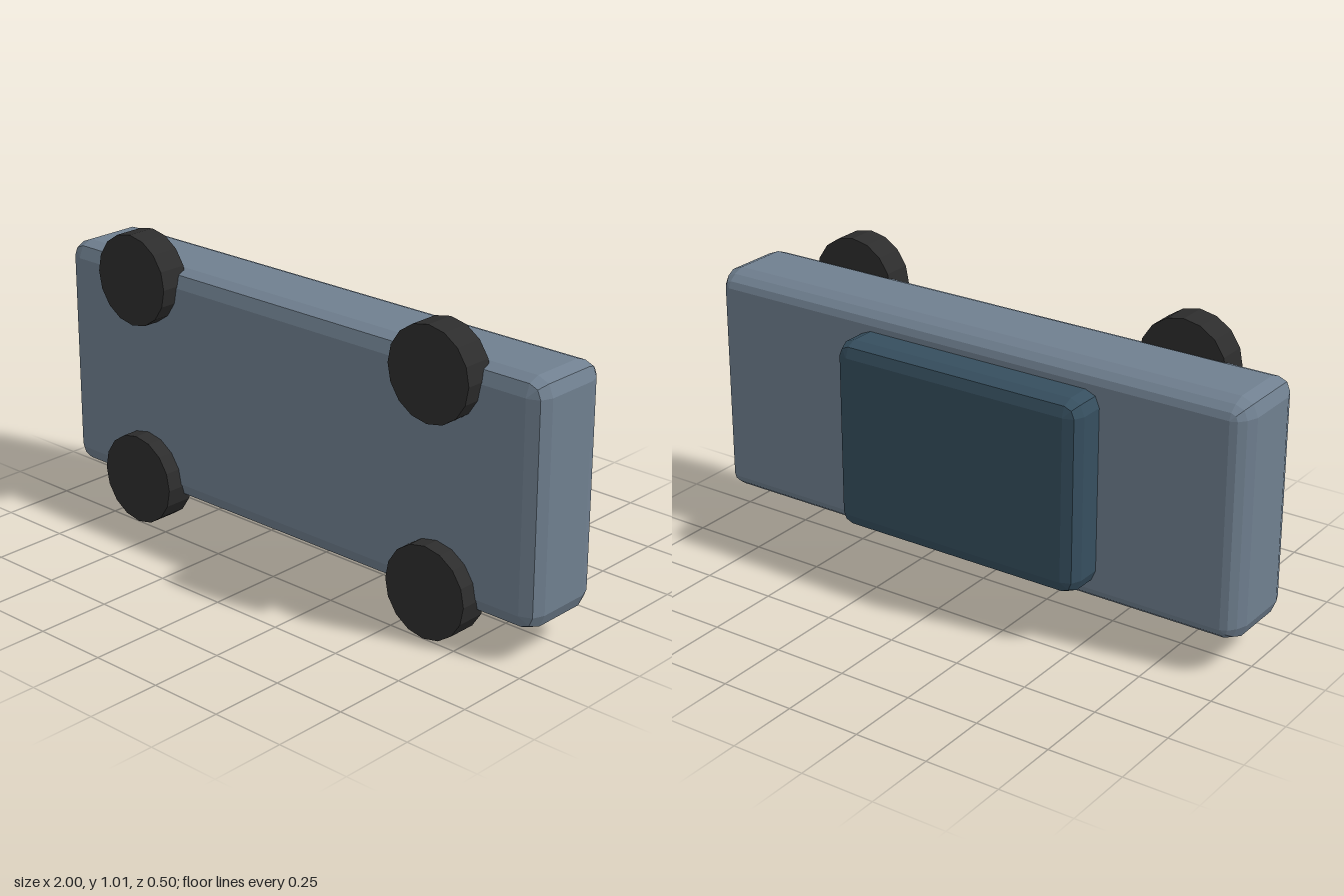
import * as THREE from 'three';

const mat = (name, color) => {
  const m = new THREE.MeshStandardMaterial({ color });
  m.name = name;
  return m;
};

// Outline of a rectangle with two-step bevelled corners, anticlockwise
function ring(x0, x1, y0, y1, r, z) {
  const pts = [];
  const corners = [[x1 - r, y1 - r], [x0 + r, y1 - r], [x0 + r, y0 + r], [x1 - r, y0 + r]];
  corners.forEach(([cx, cy], q) => {
    for (let i = 0; i <= 2; i++) {
      const a = (q + i / 2) * Math.PI / 2;
      pts.push(new THREE.Vector3(cx + r * Math.cos(a), cy + r * Math.sin(a), z));
    }
  });
  return pts;
}

// Bevelled block lofted through [z, inset] steps from back to front
function block(x0, x1, y0, y1, radius, steps) {
  const rings = steps.map(([z, d]) =>
    ring(x0 + d, x1 - d, y0 + d, y1 - d, Math.max(radius - d, 0.001), z));
  const pos = [];
  const tri = (...vs) => vs.forEach(v => pos.push(v.x, v.y, v.z));
  const n = rings[0].length;
  const first = rings[0], last = rings[rings.length - 1];
  for (let i = 0; i < n; i++) {
    const j = (i + 1) % n;
    for (let k = 0; k < rings.length - 1; k++) {
      const a = rings[k], b = rings[k + 1];
      tri(a[i], a[j], b[j]);
      tri(a[i], b[j], b[i]);
    }
    if (i > 0 && j > 0) {
      tri(first[0], first[j], first[i]);
      tri(last[0], last[i], last[j]);
    }
  }
  const g = new THREE.BufferGeometry();
  g.setAttribute('position', new THREE.Float32BufferAttribute(pos, 3));
  g.computeVertexNormals();
  return g;
}

export function createModel() {
  const group = new THREE.Group();
  const add = (name, geometry, material) => {
    const mesh = new THREE.Mesh(geometry, material);
    mesh.name = name;
    group.add(mesh);
    return mesh;
  };
  const paint = mat('slate body', 0x708090);
  const dark = mat('dark blue cabin', 0x364f5f);
  const rubber = mat('black rubber', 0x2d2d2d);

  // Vehicle lies on its side: wheels face the front, roof faces the back
  add('body', block(-1, 1, 0.107, 0.903, 0.056, [
    [-0.118, 0.055], [-0.108, 0.033], [-0.084, 0.014], [-0.048, 0],
    [0.139, 0], [0.177, 0.015], [0.194, 0.055],
  ]), paint);

  add('cabin', block(-0.505, 0.405, 0.181, 0.829, 0.05, [
    [-0.247, 0.049], [-0.234, 0.015], [-0.2, 0], [-0.08, 0],
  ]), dark);

  // Wheels
  const wheel = new THREE.CylinderGeometry(0.154, 0.154, 0.1, 16).toNonIndexed();
  wheel.rotateX(Math.PI / 2);
  wheel.computeVertexNormals();
  for (const x of [-0.63, 0.63])
    for (const y of [0.154, 0.854])
      add('wheel', wheel, rubber).position.set(x, y, 0.2);

  return group;
}
